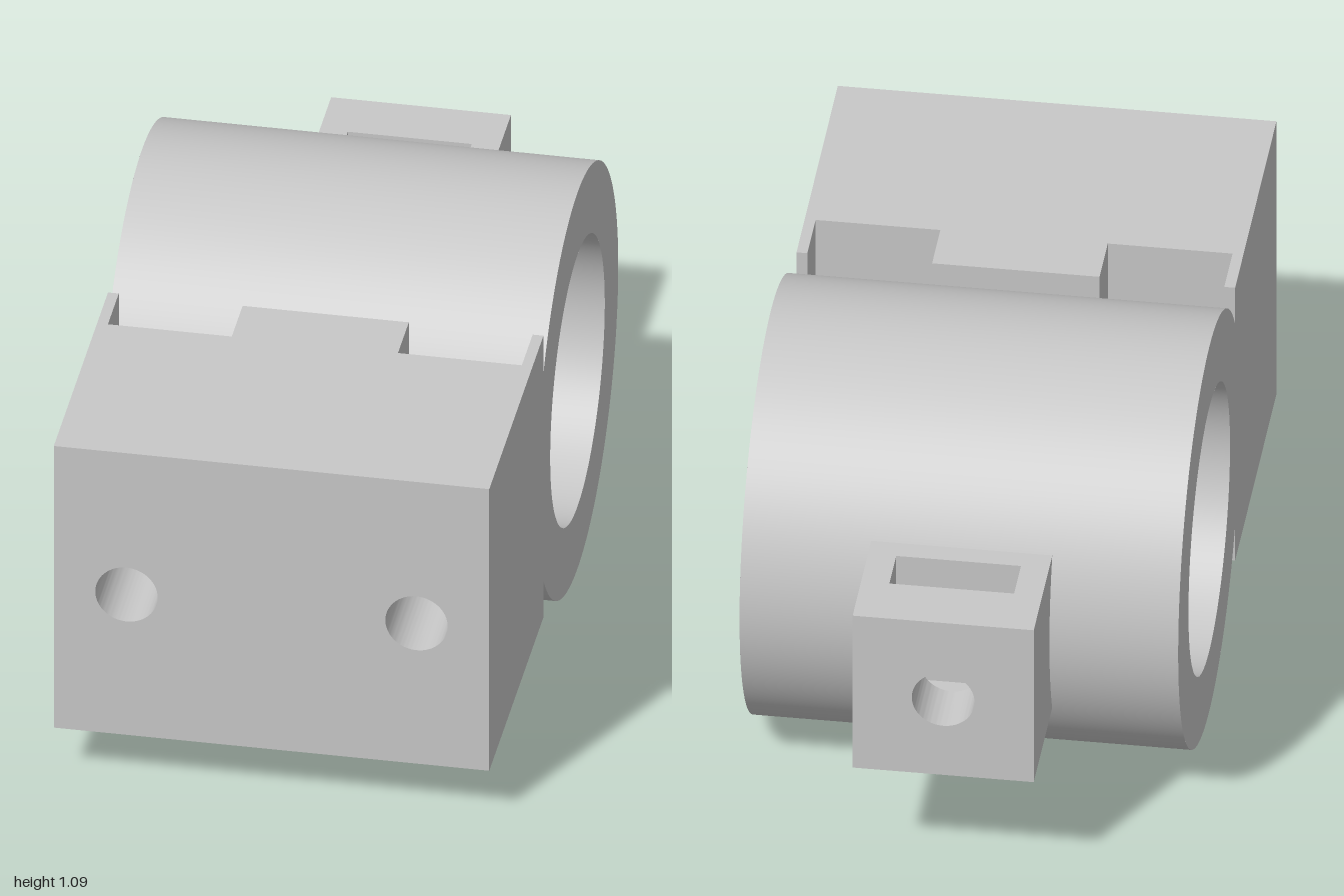
import * as THREE from 'three';
import { toCreasedNormals } from 'three/addons/utils/BufferGeometryUtils.js';
import { ParametricGeometry } from 'three/addons/geometries/ParametricGeometry.js';

const W = 0.545;                 // half width of clamp
const CY = 0.545, CZ = -0.18;    // axis of the ring
const R_OUT = 0.545, R_IN = 0.365;
const BOLT = 0.078;              // bolt hole radius
const NUT = 0.155;               // nut corner radius
const CUT = 0.275;               // flat where the ring meets the block
const GAP = 0.12;                // half height of the drilled strip at the back

export function createModel() {
  const model = new THREE.Group();
  const grey = new THREE.MeshStandardMaterial({ color: 0xc8c8c8, side: THREE.DoubleSide });
  grey.name = 'grey plastic';

  const add = (parent, name, geometry, x = 0, y = 0, z = 0) => {
    const mesh = new THREE.Mesh(geometry, grey);
    mesh.name = name;
    mesh.position.set(x, y, z);
    parent.add(mesh);
    return mesh;
  };
  const group = (name) => {
    const g = new THREE.Group();
    g.name = name;
    model.add(g);
    return g;
  };

  // Slab between z0 and z1, with round holes and nut slots open at the top (y is about the ring axis)
  const slab = (halfW, y0, y1, z0, z1, holes, slots) => {
    const s = new THREE.Shape();
    s.moveTo(-halfW, y0);
    s.lineTo(halfW, y0);
    s.lineTo(halfW, y1);
    const h = NUT * Math.sqrt(3) / 2;
    for (const c of slots) {
      s.lineTo(c + NUT, y1);
      s.lineTo(c + NUT, 0);
      s.lineTo(c + NUT / 2, -h);
      s.lineTo(c - NUT / 2, -h);
      s.lineTo(c - NUT, 0);
      s.lineTo(c - NUT, y1);
    }
    s.lineTo(-halfW, y1);
    s.closePath();
    for (const c of holes) {
      s.holes.push(new THREE.Path().absarc(c, 0, BOLT, 0, Math.PI * 2, true));
    }
    const g = new THREE.ExtrudeGeometry(s, { depth: z1 - z0, bevelEnabled: false, curveSegments: 48 });
    g.translate(0, 0, z0);
    return toCreasedNormals(g, 0.5);
  };

  // Mounting block with two bolt holes and nut slots
  const block = group('mountingBlock');
  const bolts = [0.363, -0.363];
  add(block, 'blockFront', slab(W, -0.407, 0.41, 0.42, 1, bolts, []), 0, CY);
  add(block, 'blockNutSlots', slab(W, -0.407, 0.41, CUT, 0.42, [], bolts), 0, CY);

  // Clamp ring
  const ring = group('clampRing');
  const wall = (r, a0, a1) =>
    new THREE.CylinderGeometry(r, r, W * 2, 96, 1, true, a0, a1 - a0).rotateZ(Math.PI / 2);
  const flat = Math.acos((CUT - CZ) / R_OUT);
  const gOut = Math.asin(GAP / R_OUT), gIn = Math.asin(GAP / R_IN);
  add(ring, 'ringOuterTop', wall(R_OUT, flat, Math.PI - gOut), 0, CY, CZ);
  add(ring, 'ringOuterBottom', wall(R_OUT, Math.PI + gOut, Math.PI * 2 - flat), 0, CY, CZ);
  add(ring, 'ringBore', wall(R_IN, Math.PI + gIn, Math.PI * 3 - gIn), 0, CY, CZ);

  // Curved strips at the back of the ring, pierced by the screw hole
  const piercedStrip = (r) => new ParametricGeometry((u, v, p) => {
    const c = Math.cos(u * Math.PI * 2), s = Math.sin(u * Math.PI * 2);
    const k = 1 / Math.max(Math.abs(c), Math.abs(s));
    const x = THREE.MathUtils.lerp(c * BOLT, c * k * W, v);
    const y = THREE.MathUtils.lerp(s * BOLT, s * k * GAP, v);
    p.set(x, y, -Math.sqrt(r * r - y * y));
  }, 64, 8);
  add(ring, 'ringOuterBack', piercedStrip(R_OUT), 0, CY, CZ);
  add(ring, 'ringBoreBack', piercedStrip(R_IN), 0, CY, CZ);

  // Ring ends and the flat behind the nut slots
  const profile = new THREE.Shape();
  profile.absarc(0, 0, R_OUT, flat, Math.PI * 2 - flat, false);
  profile.closePath();
  profile.holes.push(new THREE.Path().absarc(0, 0, R_IN, 0, Math.PI * 2, true));
  for (const side of [-1, 1]) {
    const end = new THREE.ShapeGeometry(profile, 96).rotateY(-Math.PI / 2);
    add(ring, side > 0 ? 'ringEndLeft' : 'ringEndRight', end, side * W, CY, CZ);
  }
  add(ring, 'ringFlat', new THREE.PlaneGeometry(W * 2, 2 * R_OUT * Math.sin(flat)), 0, CY, CUT);

  // Rear tab with a nut slot and a clamping screw hole through to the bore
  const tab = group('screwTab');
  add(tab, 'tabBack', slab(0.225, -0.225, 0.23, -1, -0.85, [0], []), 0, CY);
  add(tab, 'tabNutSlot', slab(0.225, -0.225, 0.23, -0.85, -0.73, [], [0]), 0, CY);
  const root = slab(0.225, -0.225, 0.23, -0.73, -0.55, [0], []);
  const pos = root.attributes.position;
  for (let i = 0; i < pos.count; i++) {
    // end the hole exactly on the curved bore
    const y = pos.getY(i);
    if (pos.getZ(i) > -0.6 && Math.abs(y) < 0.1) pos.setZ(i, CZ - Math.sqrt(R_IN * R_IN - y * y));
  }
  add(tab, 'tabRoot', root, 0, CY);

  return model;
}
